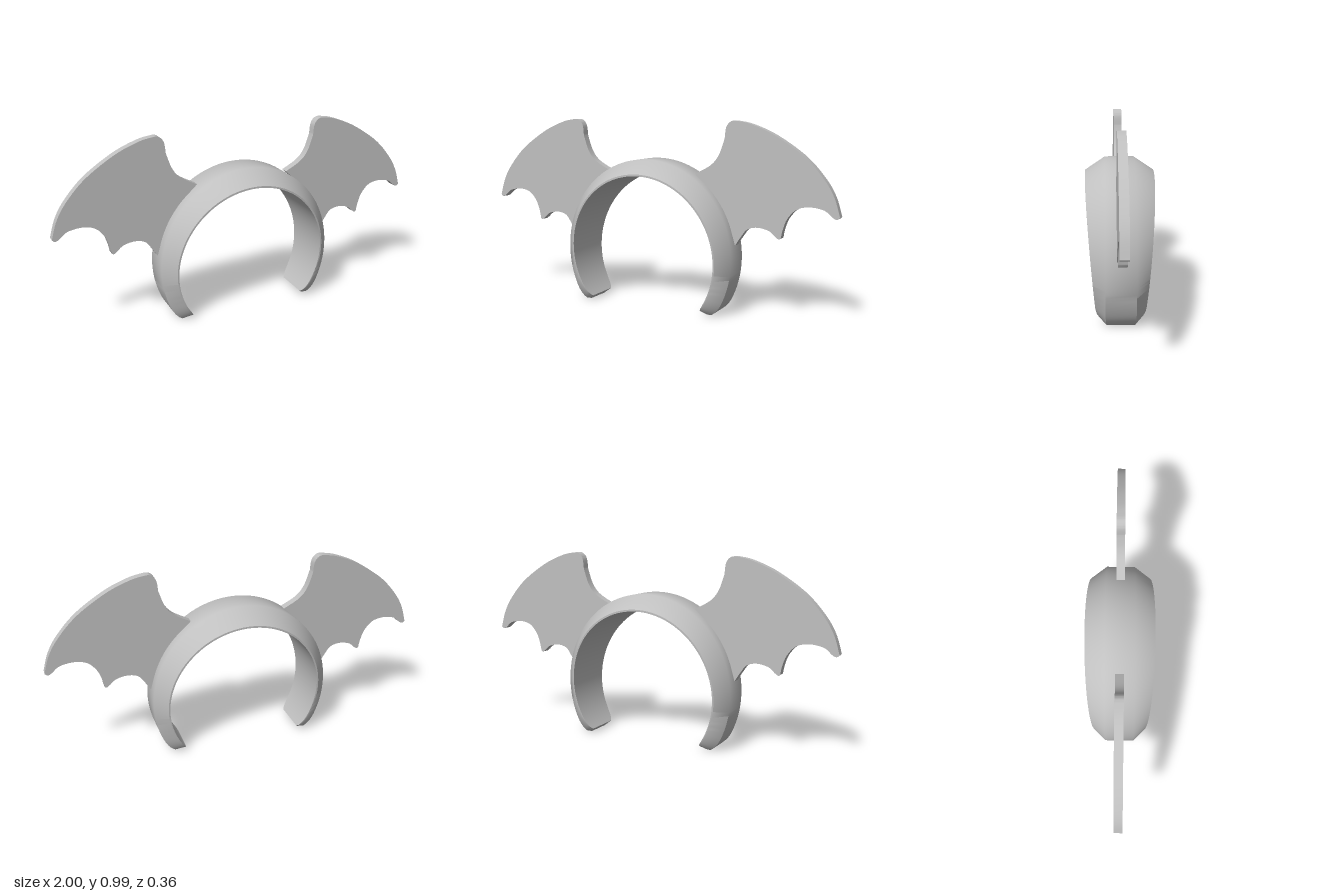
import * as THREE from 'three';
import { toCreasedNormals } from 'three/addons/utils/BufferGeometryUtils.js';

const CENTRE_Y = 0.287;

// Open cuff: a chamfered cross-section swept round an arc, narrowing to rounded ends
function bandGeometry() {
  const end = -0.672, steps = 120, sweep = Math.PI - 2 * end, taperLength = 0.22;
  const positions = [], index = [], n = 6;
  for (let i = 0; i <= steps; i++) {
    const a = end + (sweep * i) / steps;
    const fromEnd = Math.min(a - end, end + sweep - a);
    const s = Math.min(1, fromEnd / taperLength);
    const round = Math.sqrt(1 - (1 - s) ** 2);
    const y0 = CENTRE_Y + 0.425 * Math.sin(a);
    const w = (0.13 + (y0 - 0.12) * 0.084) * (0.78 + 0.22 * round);
    const c = 0.076 * (0.86 + 0.14 * round);
    const thick = 0.5 + 0.5 * round;
    const section = [[0, -w], [0.12, -w], [1, -c], [1, c], [0.12, w], [0, w]];
    for (const [t, z] of section) {
      const rx = 0.41 + 0.07 * t * thick, ry = 0.419 + 0.079 * t * thick;
      positions.push(rx * Math.cos(a), CENTRE_Y + ry * Math.sin(a), z);
    }
  }
  for (let i = 0; i < steps; i++) {
    for (let j = 0; j < n; j++) {
      const k = (j + 1) % n, p = i * n, q = p + n;
      index.push(p + j, q + j, p + k, q + j, q + k, p + k);
    }
  }
  // End caps
  const last = steps * n;
  for (let j = 1; j < n - 1; j++) {
    index.push(0, j, j + 1, last, last + j + 1, last + j);
  }
  const g = new THREE.BufferGeometry();
  g.setAttribute('position', new THREE.Float32BufferAttribute(positions, 3));
  g.setIndex(index);
  return toCreasedNormals(g, 0.8);
}

// Bat wing: a flat plate with a scalloped lower edge
function wingGeometry() {
  const shape = new THREE.Shape();
  const curve = (...pts) => shape.splineThru(pts.map(([x, y]) => new THREE.Vector2(x, y)));
  shape.moveTo(0.255, 0.717);
  // Lower root along the band
  curve([0.345, 0.632], [0.405, 0.552], [0.45, 0.456], [0.479, 0.364]);
  // Inner scallop
  curve([0.51, 0.412], [0.543, 0.452], [0.596, 0.465], [0.655, 0.453], [0.69, 0.425], [0.706, 0.415], [0.716, 0.421]);
  // Outer scallop
  curve([0.725, 0.465], [0.746, 0.519], [0.79, 0.567], [0.853, 0.583], [0.925, 0.572], [0.965, 0.541], [0.986, 0.532], [1, 0.542]);
  // Leading edge up to the rounded top
  curve([0.97, 0.636], [0.917, 0.722], [0.82, 0.824], [0.676, 0.92], [0.56, 0.97], [0.49, 0.986], [0.45, 0.986], [0.423, 0.957], [0.415, 0.9]);
  // Hollow back to the band
  curve([0.385, 0.818], [0.34, 0.764], [0.255, 0.717]);
  const g = new THREE.ExtrudeGeometry(shape, { depth: 0.043, bevelEnabled: false, curveSegments: 5 });
  g.translate(0, 0, -0.0215);
  return toCreasedNormals(g, 0.8);
}

export function createModel() {
  const grey = new THREE.MeshStandardMaterial({ color: 0xc0c0c0 });
  grey.name = 'light grey';

  const model = new THREE.Group();
  model.name = 'wingedBand';

  const band = new THREE.Mesh(bandGeometry(), grey);
  band.name = 'band';
  model.add(band);

  const wing = wingGeometry();
  for (const side of ['left', 'right']) {
    const mesh = new THREE.Mesh(wing, grey);
    mesh.name = side + 'Wing';
    if (side === 'right') mesh.rotation.y = Math.PI;
    model.add(mesh);
  }
  return model;
}
